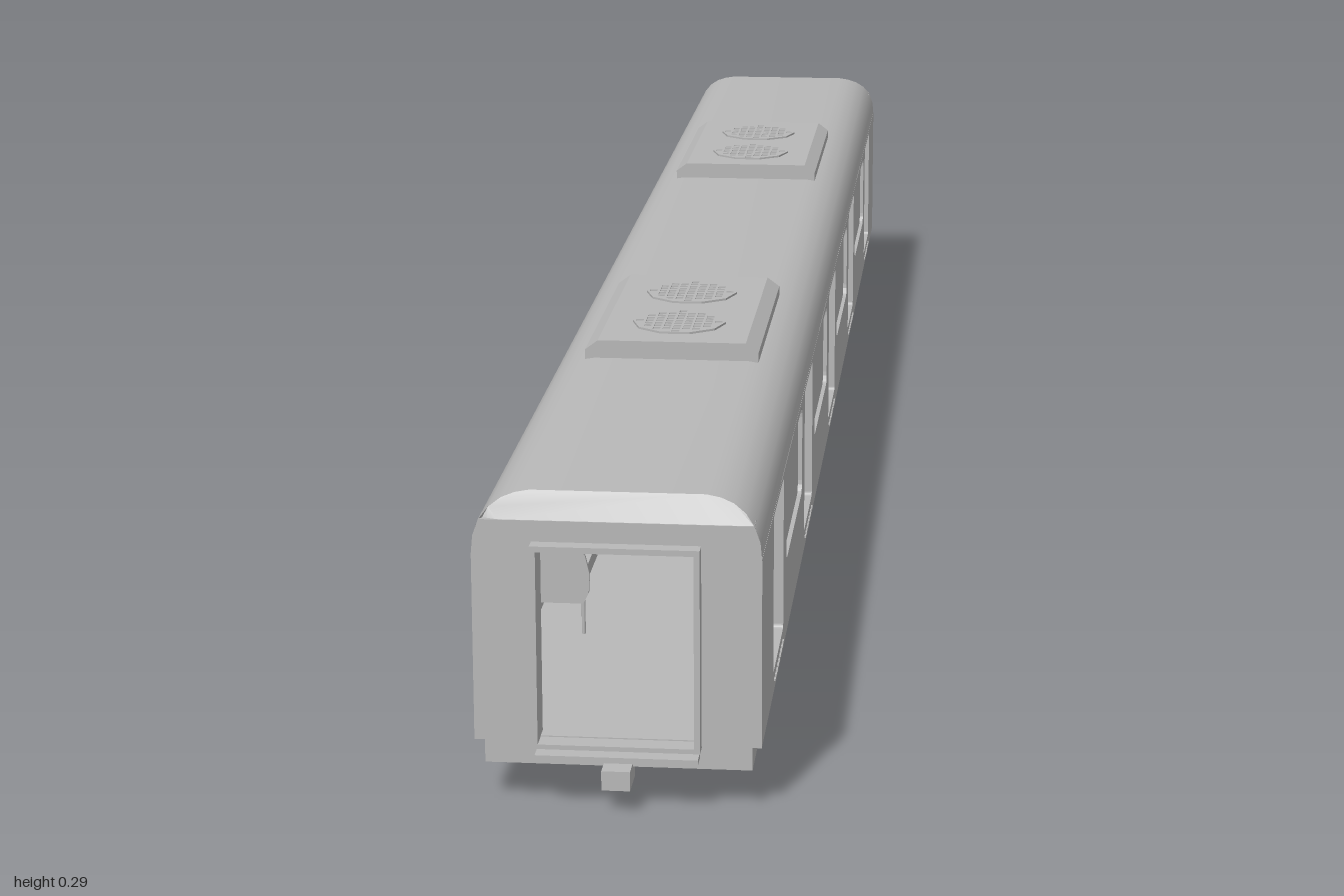
import * as THREE from 'three';
import { toCreasedNormals } from 'three/addons/utils/BufferGeometryUtils.js';

const bodyGrey = new THREE.MeshStandardMaterial({ color: 0xb8b8b8 });
bodyGrey.name = 'body grey';

const DOORS = [-0.8, -0.4, 0, 0.4, 0.8];
const WINDOWS = [-0.6, -0.2, 0.2, 0.6];
const END = 0.985;

export function createModel() {
  const car = new THREE.Group();
  car.name = 'railCar';

  const add = (name, geometry, x = 0, y = 0, z = 0, parent = car) => {
    const mesh = new THREE.Mesh(geometry, bodyGrey);
    mesh.name = name;
    mesh.position.set(x, y, z);
    parent.add(mesh);
    return mesh;
  };
  // Box given by its limits
  const box = (name, x0, x1, y0, y1, z0, z1, parent = car) =>
    add(name, new THREE.BoxGeometry(x1 - x0, y1 - y0, z1 - z0),
      (x0 + x1) / 2, (y0 + y1) / 2, (z0 + z1) / 2, parent);
  const polygon = (pts) => new THREE.Shape(pts.map(([a, b]) => new THREE.Vector2(a, b)));
  const extrude = (shape, depth) =>
    new THREE.ExtrudeGeometry(shape, { depth, bevelEnabled: false, curveSegments: 5 });
  const mirrored = (half) => [...half, ...half.map(([x, y]) => [-x, y]).reverse()];
  // Rounded rectangle traced into a Shape or Path
  const roundRect = (path, x0, x1, y0, y1, r) => {
    path.moveTo(x0 + r, y0);
    path.lineTo(x1 - r, y0);
    path.quadraticCurveTo(x1, y0, x1, y0 + r);
    path.lineTo(x1, y1 - r);
    path.quadraticCurveTo(x1, y1, x1 - r, y1);
    path.lineTo(x0 + r, y1);
    path.quadraticCurveTo(x0, y1, x0, y1 - r);
    path.lineTo(x0, y0 + r);
    path.quadraticCurveTo(x0, y0, x0 + r, y0);
    return path;
  };

  // Underframe and floor
  box('underframe', -0.112, 0.112, 0.036, 0.061, -0.98, 0.98);

  // Side walls with door and window openings
  const wall = polygon([[-0.98, 0.058], [0.98, 0.058], [0.98, 0.222], [-0.98, 0.222]]);
  for (const z of DOORS) wall.holes.push(roundRect(new THREE.Path(), z - 0.059, z + 0.059, 0.077, 0.218, 0.004));
  for (const z of WINDOWS) wall.holes.push(roundRect(new THREE.Path(), z - 0.105, z + 0.105, 0.128, 0.215, 0.012));
  const wallGeometry = extrude(wall, 0.01).rotateY(-Math.PI / 2);
  for (const side of [-1, 1]) {
    add('sideWall', wallGeometry, side > 0 ? 0.12 : -0.11);
    for (const z of WINDOWS) {
      box('windowPane', side * 0.114 - 0.002, side * 0.114 + 0.002, 0.124, 0.218, z - 0.108, z + 0.108);
    }
    for (const z of DOORS) {
      // Tread studs below each door
      for (let i = -4; i <= 4; i++) {
        const s = z + i * 0.012;
        box('treadStud', side * 0.1205 - 0.001, side * 0.1205 + 0.001, 0.067, 0.069, s - 0.003, s + 0.003);
      }
    }
  }

  // Roof: rounded outside, flat ceiling inside, ends sloping back
  const roofHalf = [[0.11, 0.22], [0.12, 0.22], [0.1185, 0.236], [0.114, 0.249],
    [0.106, 0.259], [0.096, 0.266], [0.085, 0.27], [0.073, 0.272]];
  const ceilingHalf = [[-0.11, 0.22], [-0.108, 0.238], [-0.098, 0.25]];
  const roofGeometry = extrude(
    polygon([...mirrored(roofHalf), ...ceilingHalf.slice(1),
      ...ceilingHalf.slice(1).map(([x, y]) => [-x, y]).reverse()]), 2);
  const p = roofGeometry.attributes.position;
  for (let i = 0; i < p.count; i++) {
    const z = 0.984 - Math.max(0, p.getY(i) - 0.25) * 0.6;
    p.setZ(i, p.getZ(i) > 1 ? z : -z);
  }
  add('roof', toCreasedNormals(roofGeometry, 0.5));

  // Ends: wall, doorway, gangway frame, step and coupler
  const endShape = polygon(mirrored([[0.12, 0.058], [0.12, 0.22], [0.1185, 0.236], [0.1135, 0.25]]));
  endShape.holes.push(polygon([[-0.068, 0.06], [0.068, 0.06], [0.068, 0.23], [-0.068, 0.23]]));
  const endGeometry = extrude(endShape, 0.018);
  const frameShape = polygon([[-0.07, 0.056], [0.07, 0.056], [0.07, 0.232], [-0.07, 0.232]]);
  frameShape.holes.push(polygon([[-0.065, 0.06], [0.065, 0.06], [0.065, 0.227], [-0.065, 0.227]]));
  const frameGeometry = extrude(frameShape, 0.03);
  for (const turn of [0, Math.PI]) {
    const end = new THREE.Group();
    end.name = 'carEnd';
    end.rotation.y = turn;
    car.add(end);
    add('endWall', endGeometry, 0, 0, END - 0.018, end);
    add('gangwayFrame', frameGeometry, 0, 0, 0.968, end);
    box('endStep', -0.068, 0.068, 0.045, 0.05, 0.975, 0.997, end);
    box('coupler', -0.012, 0.012, 0.022, 0.039, 0.965, 1, end);
  }

  // Roof units, each with two round slotted fan grilles
  const unitShape = polygon(mirrored([[0.082, 0.268], [0.082, 0.28], [0.07, 0.289]]));
  const unitGeometry = extrude(unitShape, 0.266);
  const grille = new THREE.Shape().absarc(0, 0, 0.045, 0, Math.PI * 2);
  for (let row = -4; row <= 4; row++) {
    for (let col = -4; col <= 4; col++) {
      const x = col * 0.0095, y = row * 0.0095;
      if (Math.hypot(x, y) > 0.038) continue;
      grille.holes.push(polygon([[x - 0.0035, y - 0.003], [x + 0.0035, y - 0.003],
        [x + 0.0035, y + 0.003], [x - 0.0035, y + 0.003]]));
    }
  }
  const grilleGeometry = extrude(grille, 0.003).rotateX(-Math.PI / 2);
  for (const z of [-0.417, 0.417]) {
    add('roofUnit', unitGeometry, 0, 0, z - 0.133);
    for (const dz of [-0.06, 0.06]) add('fanGrille', grilleGeometry, 0, 0.288, z + dz);
  }

  // Equipment boxes under the floor, with side latches
  const boxShape = polygon(mirrored([[0.084, 0.001], [0.088, 0.006], [0.088, 0.037]]));
  for (const [z0, z1] of [[0.345, 0.532], [0.02, 0.226], [-0.275, -0.067], [-0.545, -0.36]]) {
    add('equipmentBox', extrude(boxShape, z1 - z0), 0, 0, z0);
    for (const side of [-1, 1]) {
      for (const t of [0.25, 0.75]) {
        const z = z0 + (z1 - z0) * t;
        box('latch', side * 0.088 - 0.002, side * 0.088 + 0.002, 0.012, 0.028, z - 0.004, z + 0.004);
      }
    }
  }

  // Interior: benches between doors, curved end screens and grab poles
  const screenGeometry = extrude(polygon([[0.111, 0.09], [0.062, 0.09], [0.057, 0.1],
    [0.056, 0.118], [0.06, 0.135], [0.068, 0.145], [0.111, 0.145]].reverse()), 0.004);
  const poleGeometry = new THREE.CylinderGeometry(0.0018, 0.0018, 0.19, 8);
  for (const side of [-1, 1]) {
    const seating = new THREE.Group();
    seating.name = 'seating';
    seating.rotation.y = side > 0 ? 0 : Math.PI;
    car.add(seating);
    for (const z of WINDOWS) {
      box('benchSeat', 0.066, 0.111, 0.092, 0.106, z - 0.125, z + 0.125, seating);
      box('benchBack', 0.102, 0.111, 0.106, 0.126, z - 0.125, z + 0.125, seating);
      for (const dz of [-0.128, 0.128]) {
        add('benchScreen', screenGeometry, 0, 0, z + dz - 0.002, seating);
        add('grabPole', poleGeometry, 0.062, 0.156, z + dz, seating);
        box('poleBracket', 0.062, 0.111, 0.2, 0.204, z + dz - 0.0015, z + dz + 0.0015, seating);
      }
    }
  }
  return car;
}
